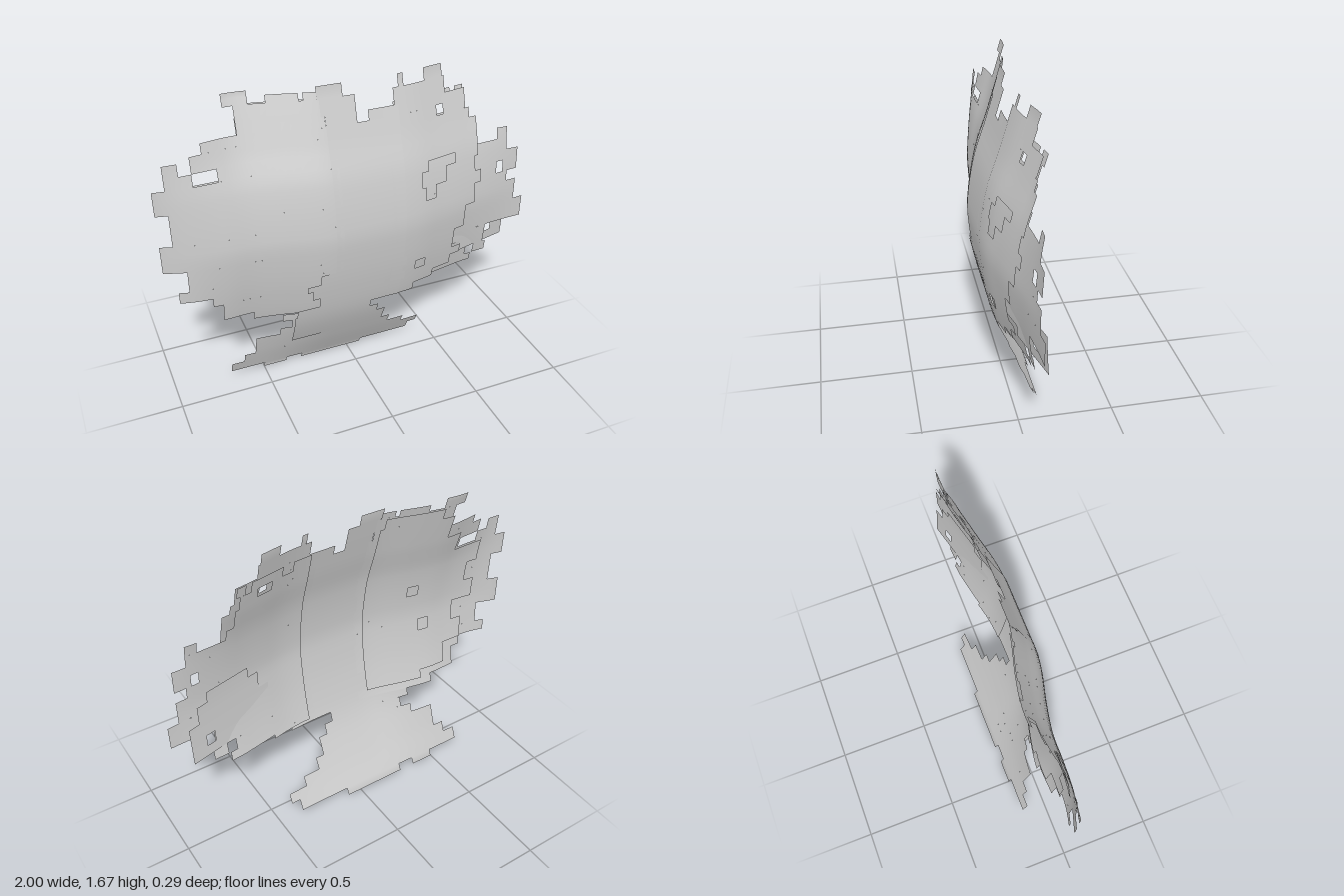
import * as THREE from 'three';

// Smooth interpolation through [position, value] pairs
function profile(points) {
  return (t) => {
    let i = 0;
    while (i < points.length - 2 && t > points[i + 1][0]) i++;
    const at = (k) => points[Math.min(points.length - 1, Math.max(0, k))];
    const [a, b, c, d] = [at(i - 1), at(i), at(i + 1), at(i + 2)];
    const h = c[0] - b[0], u = Math.min(1, Math.max(0, (t - b[0]) / h));
    const m0 = (c[1] - a[1]) / (c[0] - a[0]) * h, m1 = (d[1] - b[1]) / (d[0] - b[0]) * h;
    const u2 = u * u, u3 = u2 * u;
    return (2 * u3 - 3 * u2 + 1) * b[1] + (u3 - 2 * u2 + u) * m0 + (3 * u2 - 2 * u3) * c[1] + (u3 - u2) * m1;
  };
}

// Bow up the height, forward reach across the width, and how much of the bow each column keeps
const bow = profile([[0, -0.145], [0.2, -0.035], [0.4, 0.055], [0.6, 0.107], [0.8, 0.138], [0.95, 0.145],
  [1.2, 0.108], [1.4, 0.045], [1.67, -0.035]]);
const reach = profile([[-1, -0.012], [-0.85, 0.035], [-0.7, 0.053], [-0.55, 0.06], [-0.4, 0.088], [-0.2, 0.137],
  [-0.05, 0.145], [0.2, 0.142], [0.32, 0.132], [0.45, 0.105], [0.57, 0.08], [0.73, 0.045], [0.88, 0.015], [1, 0]]);
const keep = profile([[0, 1], [0.6, 1], [0.75, 0.78], [0.87, 0.5], [1, 0.12]]);

// Surfaces: the middle is bowed one way, the foot flattens to a straight base, the lobes fall back sideways
const stem = (x, y) => bow(y);
const flare = (x, y) => bow(y) - (0.145 - reach(x)) * Math.min(1, y * 2);
const canopy = (shift) => (x, y) => reach(x) + keep(Math.abs(x)) * (bow(y) - 0.145) + shift;
const tucked = (x, y) => canopy(-0.016 * (1 - THREE.MathUtils.smoothstep(x, 0.6, 1)))(x, y);
const tilted = (x, y) => 0.105 - 0.245 * (x - 0.36) + 0.4 * (bow(y) - 0.145);

// Curved sheet cut in stepped rows: [bottom, top, left, right, left, right, ...]
function sheet(name, surface, material, rows) {
  const pos = [], nor = [], idx = [], e = 0.004;
  const n = new THREE.Vector3();
  for (const [y0, y1, ...spans] of rows) {
    const ny = Math.max(1, Math.round((y1 - y0) / 0.05));
    for (let s = 0; s < spans.length; s += 2) {
      const x0 = spans[s], x1 = spans[s + 1];
      const nx = Math.max(1, Math.round((x1 - x0) / 0.04));
      const base = pos.length / 3;
      for (let j = 0; j <= ny; j++) {
        for (let i = 0; i <= nx; i++) {
          const x = x0 + (x1 - x0) * i / nx, y = y0 + (y1 - y0) * j / ny;
          pos.push(x, y, surface(x, y));
          n.set((surface(x - e, y) - surface(x + e, y)) / (2 * e), (surface(x, y - e) - surface(x, y + e)) / (2 * e), 1);
          n.normalize();
          nor.push(n.x, n.y, n.z);
          if (i < nx && j < ny) {
            const a = base + j * (nx + 1) + i, b = a + nx + 1;
            idx.push(a, a + 1, b + 1, a, b + 1, b);
          }
        }
      }
    }
  }
  const g = new THREE.BufferGeometry();
  g.setAttribute('position', new THREE.Float32BufferAttribute(pos, 3));
  g.setAttribute('normal', new THREE.Float32BufferAttribute(nor, 3));
  g.setIndex(idx);
  const mesh = new THREE.Mesh(g, material);
  mesh.name = name;
  return mesh;
}

export function createModel() {
  const group = new THREE.Group();
  group.name = 'steppedCanopySheet';
  const grey = new THREE.MeshStandardMaterial({ color: 0xcccccc, side: THREE.DoubleSide });
  grey.name = 'light grey';

  // Flared foot below the canopy
  group.add(sheet('foot', flare, grey, [
    [0, 0.035, -0.5, -0.37, -0.28, 0.08],
    [0.035, 0.09, -0.69, 0.37],
    [0.09, 0.105, -0.69, 0.42],
    [0.105, 0.14, -0.62, 0.42],
    [0.14, 0.165, -0.62, 0.31],
    [0.165, 0.19, -0.56, 0.31],
    [0.19, 0.25, -0.56, 0.21],
    [0.25, 0.295, -0.56, 0.16],
    [0.295, 0.345, -0.43, 0.16],
    [0.345, 0.4, -0.37, 0.11],
    [0.4, 0.45, -0.42, 0.06],
  ]));

  // Middle strip running to the top edge
  group.add(sheet('middleStrip', stem, grey, [
    [0.24, 0.45, -0.37, 0],
    [0.45, 0.5, -0.36, 0.22],
    [0.5, 0.56, -0.24, 0.22],
    [0.56, 0.62, -0.28, 0.24],
    [0.62, 0.66, -0.31, 0.22],
    [0.66, 0.72, -0.24, 0.24],
    [0.72, 1.48, -0.16, 0.22],
    [1.48, 1.53, -0.16, 0, 0.06, 0.22],
    [1.53, 1.61, -0.18, 0],
    [1.61, 1.67, -0.19, -0.06],
  ]));

  // Broad lobe at the model's right, with ragged inner edge
  group.add(sheet('rightLobe', canopy(0.002), grey, [
    [0.45, 0.5, -0.57, -0.12],
    [0.5, 0.61, -0.73, -0.2],
    [0.61, 0.665, -0.78, -0.14],
    [0.665, 0.73, -0.94, -0.14],
    [0.73, 0.785, -0.89, -0.12],
    [0.785, 0.85, -0.89, -0.15],
    [0.85, 1.0, -1, -0.12],
    [1.0, 1.1, -0.94, -0.15],
    [1.1, 1.165, -0.94, -0.12],
    [1.165, 1.29, -1, -0.12],
    [1.29, 1.35, -0.94, -0.81, -0.69, -0.14],
    [1.35, 1.41, -0.94, -0.87, -0.81, -0.14],
    [1.41, 1.43, -0.81, -0.14],
    [1.43, 1.48, -0.75, -0.14],
    [1.48, 1.55, -0.57, -0.16],
    [1.55, 1.61, -0.57, -0.16],
    [1.61, 1.645, -0.62, -0.5, -0.42, -0.27, -0.25, -0.18],
    [1.645, 1.67, -0.62, -0.5],
  ]));

  // Inner lobe at the model's left
  group.add(sheet('leftInnerLobe', canopy(0.002), grey, [
    [0.45, 0.5, 0.05, 0.31],
    [0.5, 0.55, 0.15, 0.43],
    [0.55, 0.61, 0.12, 0.54],
    [0.61, 0.665, 0.15, 0.3, 0.36, 0.6],
    [0.665, 0.79, 0.17, 0.54],
    [0.79, 0.92, 0.17, 0.6],
    [0.92, 1.03, 0.15, 0.66],
    [1.03, 1.1, 0.15, 0.34, 0.4, 0.7],
    [1.1, 1.18, 0.15, 0.32, 0.47, 0.66],
    [1.18, 1.23, 0.15, 0.36, 0.53, 0.68],
    [1.23, 1.38, 0.15, 0.68],
    [1.38, 1.43, 0.15, 0.64],
    [1.43, 1.48, 0.17, 0.44, 0.48, 0.62],
    [1.48, 1.53, 0.06, 0.62],
    [1.53, 1.61, 0.2, 0.5],
    [1.61, 1.67, 0.23, 0.26, 0.38, 0.49],
  ]));

  // Outer lobe at the model's left, running in behind the inner one
  group.add(sheet('leftOuterLobe', tucked, grey, [
    [0.48, 0.5, 0.2, 0.43],
    [0.5, 0.55, 0.2, 0.7],
    [0.55, 0.61, 0.2, 0.66, 0.71, 0.79],
    [0.61, 0.73, 0.2, 0.77],
    [0.73, 0.855, 0.2, 1],
    [0.855, 0.98, 0.2, 0.94],
    [0.98, 1.04, 0.2, 0.88],
    [1.04, 1.105, 0.2, 0.81, 0.85, 0.94],
    [1.105, 1.165, 0.2, 0.94],
    [1.165, 1.23, 0.2, 0.87],
    [1.23, 1.29, 0.2, 0.66, 0.81, 0.87],
    [1.29, 1.4, 0.2, 0.62],
    [1.4, 1.43, 0.2, 0.6],
    [1.43, 1.48, 0.2, 0.42, 0.5, 0.6],
    [1.48, 1.54, 0.2, 0.3, 0.36, 0.54, 0.57, 0.62],
  ]));

  // Straighter panel leaning back through the outer lobe
  group.add(sheet('leftTiltedPanel', tilted, grey, [
    [0.61, 0.67, 0.6, 0.91],
    [0.67, 0.73, 0.48, 0.77, 0.82, 0.91],
    [0.73, 0.82, 0.42, 0.91],
    [0.82, 0.92, 0.48, 0.85],
    [0.92, 0.98, 0.54, 0.79],
  ]));

  // Ragged backing behind the broad lobe
  group.add(sheet('rightBacking', canopy(-0.012), grey, [
    [0.5, 0.55, -0.5, -0.18],
    [0.55, 0.67, -0.66, -0.18],
    [0.67, 0.8, -0.78, -0.18],
    [0.8, 0.87, -0.72, -0.56, -0.5, -0.18],
    [0.87, 0.92, -0.72, -0.18],
    [0.92, 1.04, -0.84, -0.18],
    [1.04, 1.1, -0.78, -0.48, -0.42, -0.18],
    [1.1, 1.16, -0.78, -0.18],
    [1.16, 1.29, -0.84, -0.18],
    [1.29, 1.41, -0.66, -0.18],
    [1.41, 1.55, -0.57, -0.18],
    [1.55, 1.61, -0.5, -0.2],
  ]));

  return group;
}
